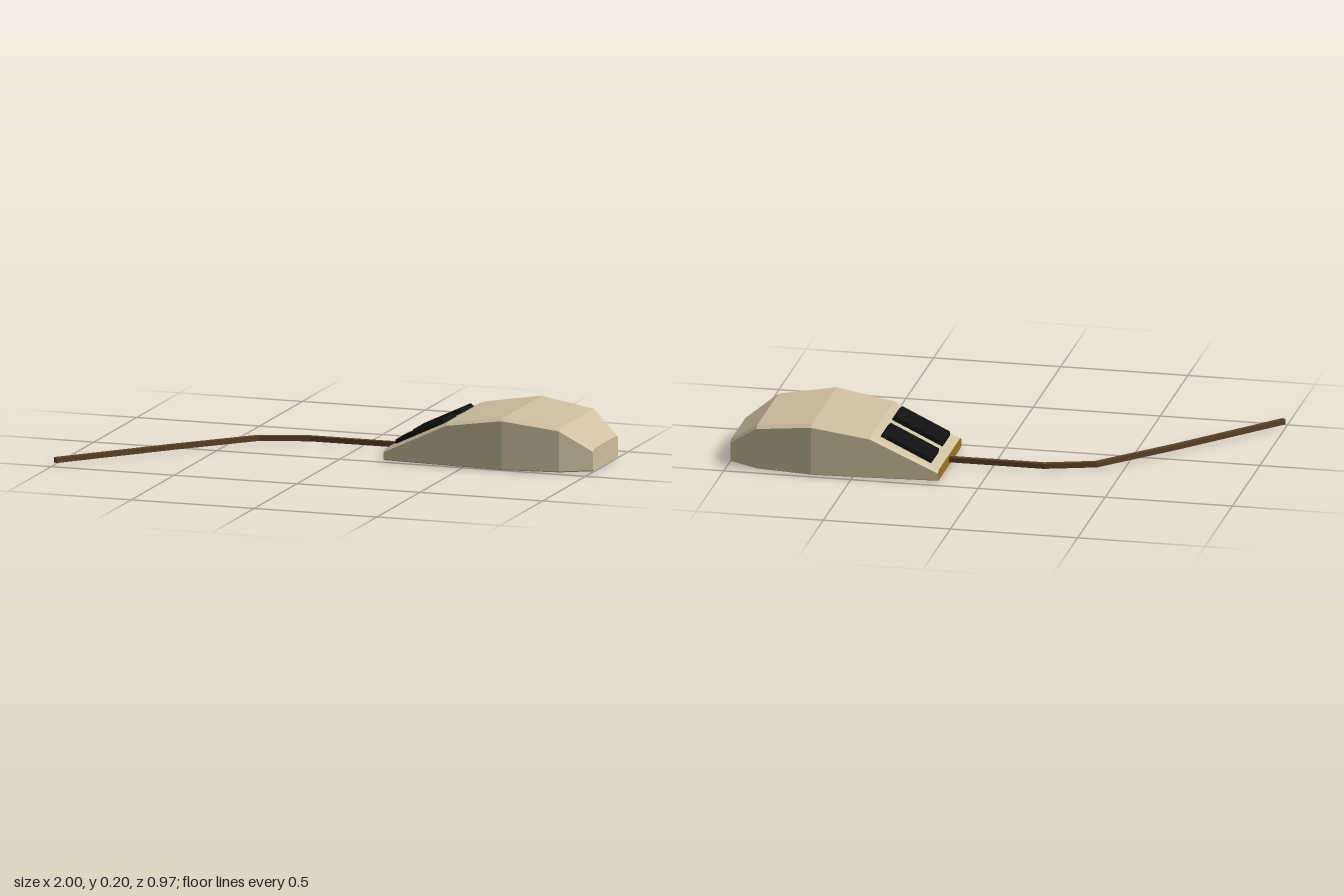
import * as THREE from 'three';

const CZ = -0.241; // centre line of the mouse body

function material(name, color, extra = {}) {
  const m = new THREE.MeshStandardMaterial({ color, flatShading: true, ...extra });
  m.name = name;
  return m;
}

function facets(points) {
  const g = new THREE.BufferGeometry();
  g.setAttribute('position', new THREE.Float32BufferAttribute(points.flat(), 3));
  g.computeVertexNormals();
  return g;
}

// Chamfered cross-section, from the left top edge down, across and up
function ring([x, top, w]) {
  const half = [[top, w - 0.02], [top - 0.01, w], [0.006, w], [0, w - 0.012]];
  const left = half.map(([y, z]) => [x, y, CZ + z]);
  const right = half.map(([y, z]) => [x, y, CZ - z]).reverse();
  return [...left, ...right];
}

function cap(r, flip) {
  const out = [];
  for (let j = 1; j < r.length - 1; j++) {
    out.push(r[0], ...(flip ? [r[j + 1], r[j]] : [r[j], r[j + 1]]));
  }
  return out;
}

export function createModel() {
  const group = new THREE.Group();
  const beige = material('beige shell', 0xcdbf9f);
  const gold = material('gold nose', 0x9c7420);
  const black = material('black buttons', 0x111111);
  const brown = material('brown cord', 0x5a4126);
  const add = (name, geometry, mat) => {
    const mesh = new THREE.Mesh(geometry, mat);
    mesh.name = name;
    group.add(mesh);
    return mesh;
  };

  // Shell lofted through stations of x, top height and half width
  const rings = [
    [0.168, 0.043, 0.213], [0.43, 0.168, 0.232], [0.66, 0.204, 0.245],
    [0.882, 0.173, 0.214], [0.998, 0.088, 0.148],
  ].map(ring);
  const shell = [];
  for (let i = 0; i < rings.length - 1; i++) {
    for (let j = 0; j < 8; j++) {
      const k = (j + 1) % 8;
      const [a, b, c, d] = [rings[i][j], rings[i][k], rings[i + 1][k], rings[i + 1][j]];
      shell.push(a, b, c, a, c, d);
    }
  }
  shell.push(...cap(rings[4], false));
  add('shell', facets(shell), beige);
  add('noseFace', facets(cap(rings[0], true)), gold);

  // Two raised buttons with sloping rims on the front slope
  const slope = Math.atan2(0.125, 0.262);
  for (const [name, z] of [['leftButton', -0.141], ['rightButton', -0.347]]) {
    const g = new THREE.BoxGeometry(0.232, 0.03, 0.143);
    const p = g.attributes.position;
    for (let i = 0; i < p.count; i++) {
      if (p.getY(i) > 0) {
        p.setX(i, p.getX(i) * 0.9);
        p.setZ(i, p.getZ(i) * 0.92);
      }
    }
    g.computeVertexNormals();
    const button = add(name, g, black);
    button.position.set(0.302, 0.108, z);
    button.rotation.z = slope;
  }

  // Square cord: a mitred ribbon extruded upwards
  const path = [[0.18, -0.241], [-0.205, -0.241], [-0.395, -0.182], [-0.65, 0.088], [-0.992, 0.477]]
    .map(([x, z]) => new THREE.Vector2(x, -z));
  const normal = (a, b) => new THREE.Vector2(a.y - b.y, b.x - a.x).normalize();
  const offset = (d) => path.map((p, i) => {
    const n1 = normal(path[Math.max(i - 1, 0)], path[Math.max(i, 1)]);
    const n2 = normal(path[Math.min(i, path.length - 2)], path[Math.min(i + 1, path.length - 1)]);
    const m = n1.clone().add(n2).normalize();
    return p.clone().addScaledVector(m, d / m.dot(n1));
  });
  const outline = new THREE.Shape([...offset(0.01), ...offset(-0.01).reverse()]);
  const cord = new THREE.ExtrudeGeometry(outline, { depth: 0.02, bevelEnabled: false });
  cord.rotateX(-Math.PI / 2);
  cord.translate(0, 0.012, 0);
  add('cord', cord, brown);

  return group;
}
